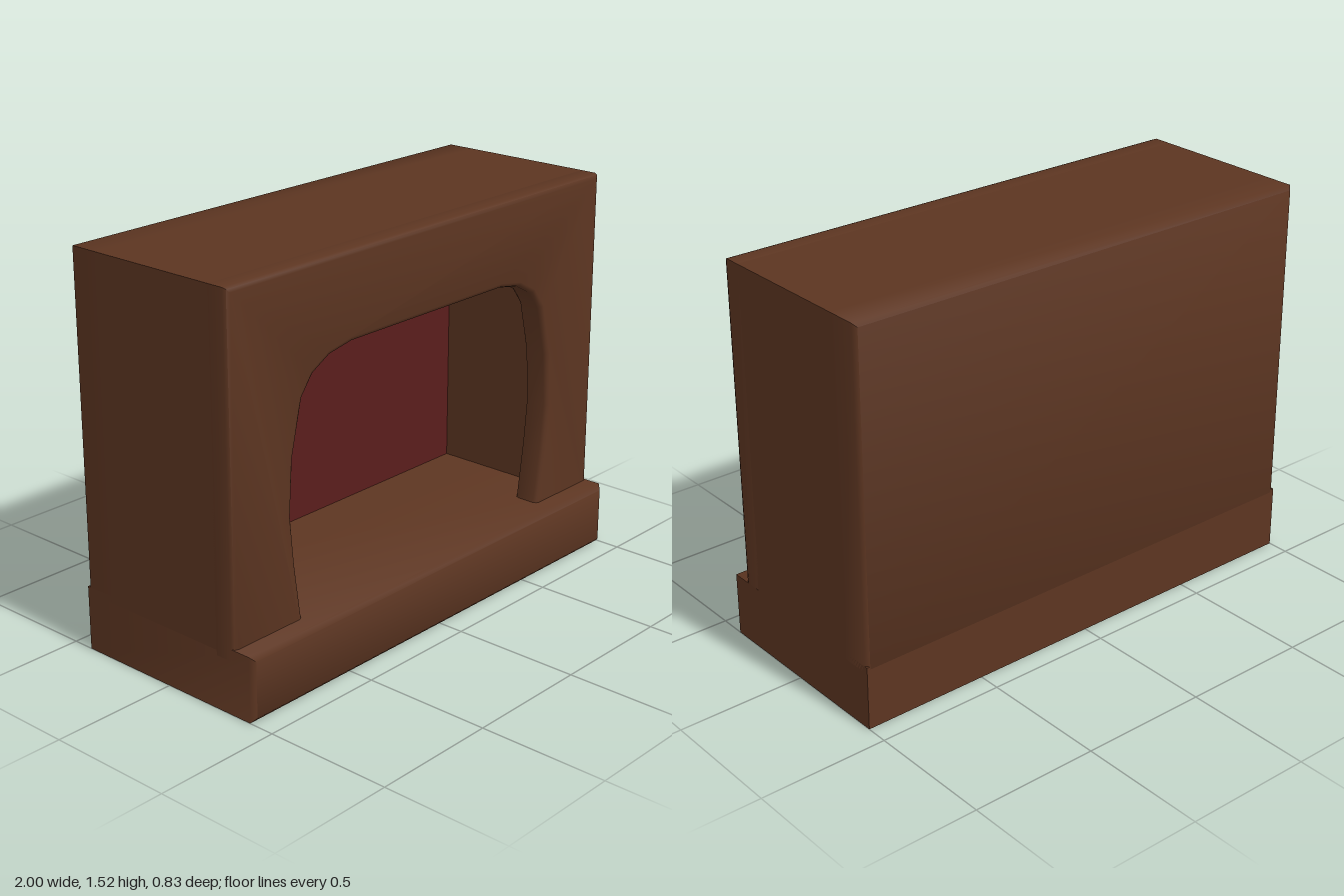
import * as THREE from 'three';
import { toCreasedNormals } from 'three/addons/utils/BufferGeometryUtils.js';

const wood = new THREE.MeshStandardMaterial({ color: 0x5c3521 });
const red = new THREE.MeshStandardMaterial({ color: 0x5a1d1c });
const BASE_TOP = 0.25, TOP = 1.52, SUNK = 0.225;

// Shape from a list of right-hand points, mirrored to the left.
function mirroredShape(half) {
  const left = half.map(([x, y]) => [-x, y]).reverse();
  return new THREE.Shape([...half, ...left].map(([x, y]) => new THREE.Vector2(x, y)));
}

// Slab between two z planes, chamfered on one of its faces only.
function chamferedSlab(y0, y1, zChamfer, zFlat, c) {
  const depth = Math.abs(zChamfer - zFlat);
  const geo = new THREE.ExtrudeGeometry(mirroredShape([[1, y0], [1, y1]]), {
    depth: depth - 2 * c, bevelThickness: c, bevelSize: c, bevelOffset: -c, bevelSegments: 1,
  });
  geo.translate(0, 0, Math.min(zChamfer, zFlat) + c);
  const p = geo.attributes.position;
  for (let i = 0; i < p.count; i++) {
    if (Math.abs(p.getZ(i) - zFlat) < 1e-4) {
      p.setX(i, Math.sign(p.getX(i)));
      p.setY(i, p.getY(i) > (y0 + y1) / 2 ? y1 : y0);
    }
  }
  return toCreasedNormals(geo, 0.9);
}

export function createModel() {
  const group = new THREE.Group();
  const add = (name, geo, material = wood) => {
    const mesh = new THREE.Mesh(geo, material);
    mesh.name = name;
    group.add(mesh);
    return mesh;
  };

  // Hearth base, chamfered along its front
  add('hearthBase', chamferedSlab(0, BASE_TOP, 0.415, -0.415, 0.018));

  // Back wall of the surround
  add('backWall', chamferedSlab(SUNK, TOP, -0.415, -0.27, 0.014));

  // Side walls and top around the firebox
  const shell = mirroredShape([[0.84, 1.36], [0.84, SUNK], [1, SUNK], [1, TOP]].reverse());
  const shellGeo = new THREE.ExtrudeGeometry(shell, { depth: 0.52, bevelEnabled: false });
  shellGeo.translate(0, 0, -0.27);
  add('fireboxShell', shellGeo);

  // Coloured lining at the back of the firebox
  const lining = add('fireboxLining', new THREE.PlaneGeometry(1.68, 1.36 - BASE_TOP), red);
  lining.position.set(0, (1.36 + BASE_TOP) / 2, -0.267);

  // Front panel with an arched opening and softened edges
  const panel = mirroredShape([
    [1, TOP], [1, SUNK - 0.02], [0.66, SUNK - 0.02], [0.672, 0.27], [0.7, 0.47], [0.717, 0.65],
    [0.703, 0.86], [0.655, 1.06], [0.602, 1.13], [0.52, 1.175], [0.41, 1.195],
  ]);
  const panelGeo = new THREE.ExtrudeGeometry(panel, {
    depth: 0.07, bevelThickness: 0.018, bevelSize: 0.018, bevelOffset: -0.018, bevelSegments: 2,
  });
  panelGeo.translate(0, 0, 0.244);
  add('frontPanel', toCreasedNormals(panelGeo, 0.9));

  return group;
}
